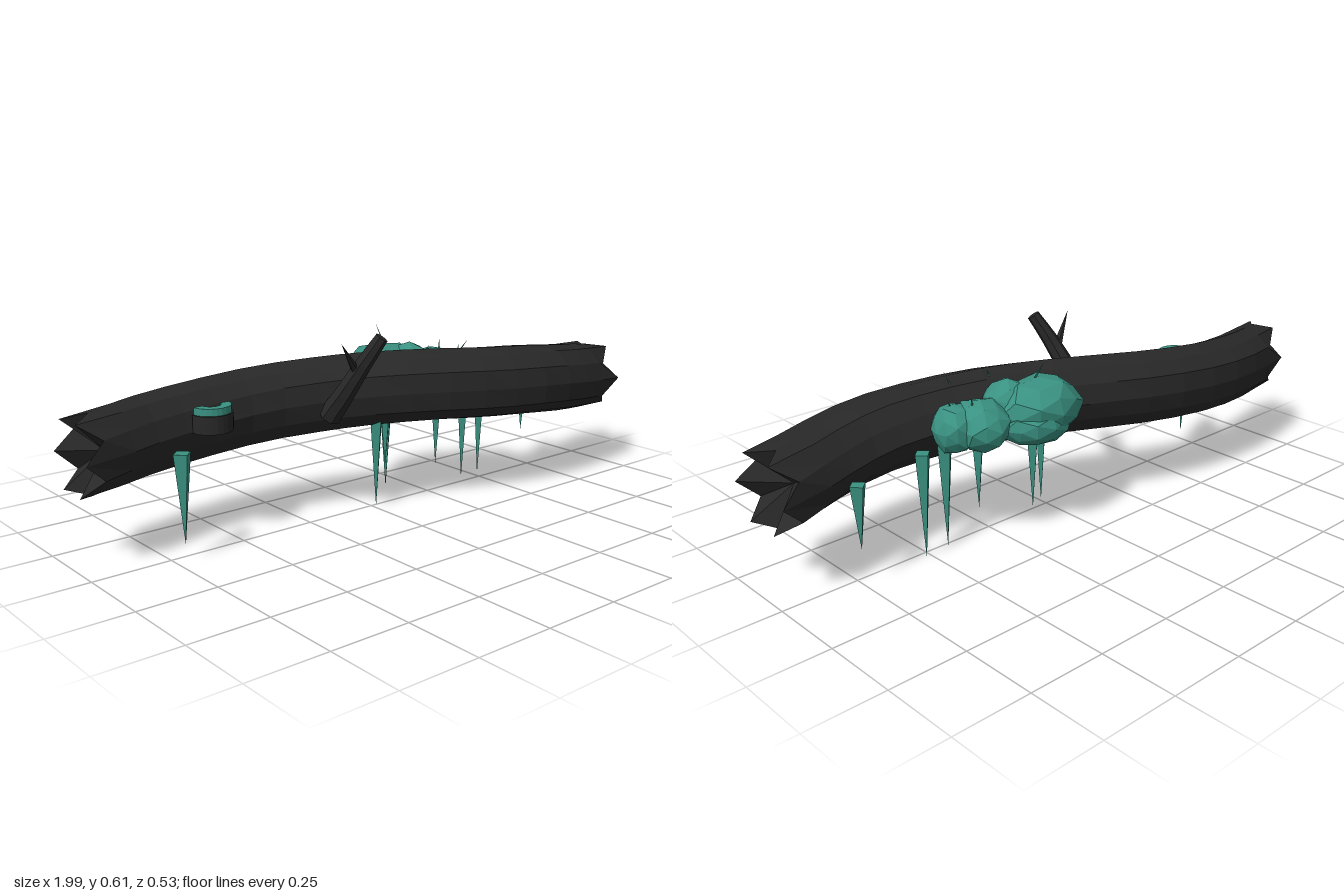
import * as THREE from 'three';

const bark = new THREE.MeshStandardMaterial({ color: 0x282828, flatShading: true });
bark.name = 'dark bark';
const moss = new THREE.MeshStandardMaterial({ color: 0x3a9282, flatShading: true });
moss.name = 'teal moss';

const V = (x, y, z) => new THREE.Vector3(x, y, z);
const UP = V(0, 1, 0);

function add(group, name, geometry, material) {
  const mesh = new THREE.Mesh(geometry, material);
  mesh.name = name;
  group.add(mesh);
  return mesh;
}

// Skin through rings of points, closed by a fan to a centre point at each end
function loft(rings, startCentre, endCentre) {
  const n = rings[0].length, pos = [];
  const tri = (a, b, c) => pos.push(...a.toArray(), ...b.toArray(), ...c.toArray());
  for (let j = 0; j < rings.length - 1; j++) {
    for (let i = 0; i < n; i++) {
      const k = (i + 1) % n;
      tri(rings[j][i], rings[j][k], rings[j + 1][k]);
      tri(rings[j][i], rings[j + 1][k], rings[j + 1][i]);
    }
  }
  const last = rings[rings.length - 1];
  for (let i = 0; i < n; i++) {
    const k = (i + 1) % n;
    tri(startCentre, rings[0][k], rings[0][i]);
    tri(endCentre, last[i], last[k]);
  }
  const g = new THREE.BufferGeometry();
  g.setAttribute('position', new THREE.Float32BufferAttribute(pos, 3));
  g.computeVertexNormals();
  return g;
}

// Winding log with splintered, hollowed ends
function logGeometry() {
  const path = new THREE.CatmullRomCurve3([
    V(-0.95, 0.335, -0.1), V(-0.78, 0.345, -0.148), V(-0.58, 0.357, -0.168), V(-0.35, 0.375, -0.147),
    V(-0.15, 0.388, -0.085), V(0, 0.395, -0.025), V(0.2, 0.395, 0.058), V(0.4, 0.385, 0.115),
    V(0.6, 0.372, 0.136), V(0.78, 0.35, 0.118), V(0.95, 0.33, 0.077),
  ]);
  const sides = 12, steps = 18, rings = [];
  for (let j = 0; j <= steps; j++) {
    const t = j / steps, p = path.getPoint(t), d = path.getTangent(t);
    const end = j === 0 ? -1 : j === steps ? 1 : 0;
    const side = end ? V(0, 0, 1) : V(-d.z, 0, d.x).normalize();
    const width = 0.101 + 0.028 * THREE.MathUtils.smoothstep(t, 0.3, 0.75);
    const ring = [];
    for (let i = 0; i < sides; i++) {
      const a = (i / sides) * Math.PI * 2;
      const rough = 1 + 0.035 * Math.sin(i * 2.6 + t * 5);
      const v = p.clone()
        .addScaledVector(side, Math.sin(a) * width * rough)
        .addScaledVector(UP, Math.cos(a) * 0.12 * rough);
      if (end) v.x += end * (i % 2 ? 0.045 : -0.02);
      ring.push(v);
    }
    rings.push(ring);
  }
  return loft(rings, V(-0.88, 0.335, -0.115), V(0.88, 0.33, 0.085));
}

// Tapered limb along a curve
function limbGeometry(points, r0, r1, sides) {
  const path = new THREE.CatmullRomCurve3(points), rings = [], steps = 6;
  for (let j = 0; j <= steps; j++) {
    const t = j / steps, p = path.getPoint(t);
    const q = new THREE.Quaternion().setFromUnitVectors(V(1, 0, 0), path.getTangent(t));
    const r = THREE.MathUtils.lerp(r0, r1, t), ring = [];
    for (let i = 0; i < sides; i++) {
      const a = (i / sides) * Math.PI * 2;
      ring.push(V(0, Math.cos(a) * r, Math.sin(a) * r).applyQuaternion(q).add(p));
    }
    rings.push(ring);
  }
  return loft(rings, path.getPoint(0), path.getPoint(1));
}

// Thin cone from a base point to a tip
function spikeGeometry(base, tip, radius, sides) {
  const dir = tip.clone().sub(base), h = dir.length();
  const q = new THREE.Quaternion().setFromUnitVectors(UP, dir.normalize());
  return new THREE.ConeGeometry(radius, h, sides).translate(0, h / 2, 0)
    .applyQuaternion(q).translate(base.x, base.y, base.z);
}

// Lumpy faceted clump
function clumpGeometry(c, r) {
  const g = new THREE.IcosahedronGeometry(1, 1), p = g.attributes.position, v = V(0, 0, 0);
  for (let i = 0; i < p.count; i++) {
    v.fromBufferAttribute(p, i);
    v.multiplyScalar(1 + 0.06 * Math.sin(v.x * 5 + c.x * 20) * Math.cos(v.y * 4 + v.z * 5));
    p.setXYZ(i, c.x + v.x * r.x, c.y + v.y * r.y, c.z + v.z * r.z);
  }
  g.computeVertexNormals();
  return g;
}

// Half ring lying flat, bulging toward the front
function halfRing(inner, outer, height) {
  const s = new THREE.Shape();
  s.absarc(0, 0, outer, Math.PI, Math.PI * 2, false);
  s.absarc(0, 0, inner, Math.PI * 2, Math.PI, true);
  return new THREE.ExtrudeGeometry(s, { depth: height, bevelEnabled: false, curveSegments: 6 })
    .rotateX(-Math.PI / 2);
}

export function createModel() {
  const model = new THREE.Group();
  model.name = 'mossyLog';
  add(model, 'log', logGeometry(), bark);

  // Broken branch with a side twig
  const branch = new THREE.Group();
  branch.name = 'branch';
  model.add(branch);
  add(branch, 'branchStem', limbGeometry(
    [V(-0.17, 0.34, 0.0), V(-0.157, 0.42, 0.06), V(-0.13, 0.52, 0.12), V(-0.092, 0.602, 0.16)], 0.038, 0.021, 7), bark);
  add(branch, 'twig', spikeGeometry(V(-0.14, 0.49, 0.1), V(-0.23, 0.595, 0.14), 0.016, 5), bark);

  // Bracket knot on the front of the log
  const knot = new THREE.Group();
  knot.name = 'knot';
  knot.position.set(-0.56, 0, -0.062);
  model.add(knot);
  add(knot, 'knotRing', halfRing(0.035, 0.065, 0.055), bark).position.y = 0.35;
  add(knot, 'knotMoss', halfRing(0.03, 0.06, 0.025), moss).position.y = 0.402;
  add(knot, 'knotCore', new THREE.CylinderGeometry(0.036, 0.036, 0.03, 10), bark).position.y = 0.39;

  // Moss clumps on the back of the log
  const clumps = [
    [V(0.14, 0.422, -0.115), V(0.15, 0.095, 0.115)],
    [V(0.17, 0.385, -0.135), V(0.12, 0.07, 0.095)],
    [V(0.22, 0.43, -0.065), V(0.085, 0.085, 0.085)],
    [V(0.34, 0.405, -0.08), V(0.085, 0.08, 0.1)],
    [V(0.41, 0.4, -0.038), V(0.062, 0.078, 0.075)],
  ];
  for (const [c, r] of clumps) add(model, 'mossClump', clumpGeometry(c, r), moss);

  // Fine shoots growing from the moss
  const shoots = [
    [V(0.145, 0.5, -0.1), V(0.145, 0.578, -0.152)],
    [V(0.345, 0.46, 0.02), V(0.345, 0.533, 0.086)],
    [V(0.22, 0.48, 0.0), V(0.22, 0.525, 0.035)],
    [V(0.41, 0.46, -0.03), V(0.43, 0.49, -0.045)],
    [V(0.37, 0.47, -0.08), V(0.38, 0.505, -0.09)],
  ];
  for (const [a, b] of shoots) add(model, 'mossShoot', spikeGeometry(a, b, 0.005, 4), moss);

  // Hanging drips: x, z, top y, tip y, radius
  const drips = [
    [-0.72, 0.035, 0.33, 0.055, 0.029], [0, 0.025, 0.34, 0.01, 0.027], [0.1, -0.045, 0.35, 0.04, 0.028],
    [0.085, -0.03, 0.35, 0.12, 0.024], [0.295, -0.01, 0.35, 0.09, 0.025], [0.43, -0.02, 0.35, 0.01, 0.027],
    [0.52, -0.03, 0.35, 0.005, 0.027], [0.757, -0.045, 0.33, 0.125, 0.027],
  ];
  for (const [x, z, top, tip, r] of drips) {
    add(model, 'drip', spikeGeometry(V(x, top, z), V(x, tip, z), r, 4), moss);
  }
  return model;
}
